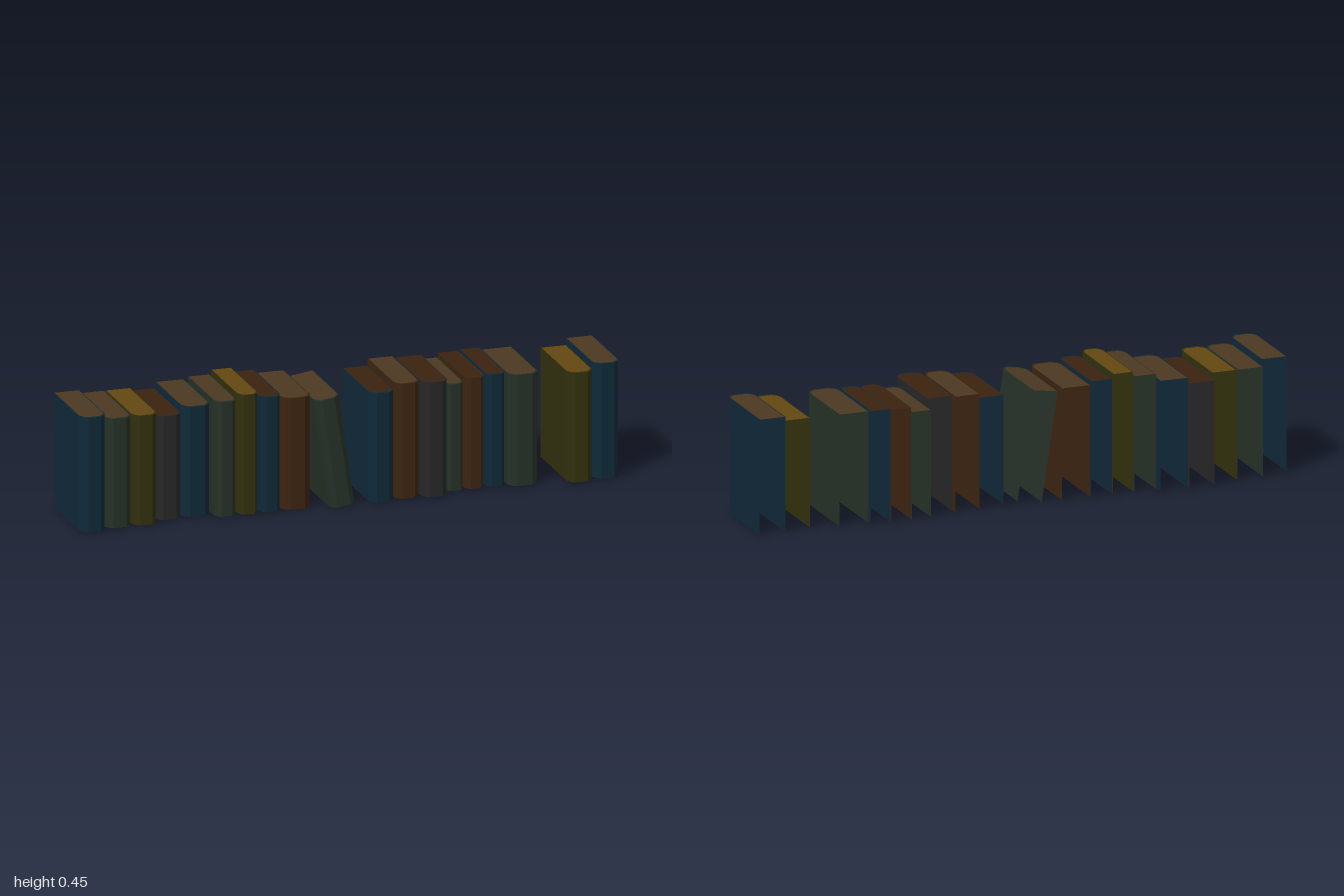
import * as THREE from 'three';

const mat = (name, color) => {
  const m = new THREE.MeshStandardMaterial({ color, side: THREE.DoubleSide, flatShading: true });
  m.name = name;
  return m;
};

// Plan outline of a book, open at the back, with a faceted rounded spine at the front
function outline(width, back, front, inset, frontInset) {
  const w = width / 2 - inset, f = front - frontInset;
  const half = [[w, back], [w, f - 0.032], [w * 0.84, f - 0.013], [w * 0.5, f]];
  return [...half, ...half.slice().reverse().map(([x, z]) => [-x, z])];
}

// Strip of quads joining two outlines at two heights
function strip(a, ya, b, yb) {
  const pos = [];
  for (let i = 0; i < a.length - 1; i++) {
    const p = [a[i][0], ya, a[i][1]], q = [a[i + 1][0], ya, a[i + 1][1]];
    const r = [b[i + 1][0], yb, b[i + 1][1]], s = [b[i][0], yb, b[i][1]];
    pos.push(...p, ...r, ...q, ...p, ...s, ...r);
  }
  const g = new THREE.BufferGeometry();
  g.setAttribute('position', new THREE.Float32BufferAttribute(pos, 3));
  g.computeVertexNormals();
  return g;
}

function makeBook(width, height, back, front, cover, pages) {
  const book = new THREE.Group();
  book.name = 'book';
  const add = (name, geometry, material) => {
    const mesh = new THREE.Mesh(geometry, material);
    mesh.name = name;
    book.add(mesh);
  };
  const outer = outline(width, back, front, 0, 0);
  const inner = outline(width, back, front, 0.003, 0.01);
  // Covers and spine: an open shell without back or bottom
  add('cover', strip(outer, 0, outer, height), cover);
  add('coverRim', strip(outer, height, inner, height), cover);
  // Page tops
  const shape = new THREE.Shape(inner.map(([x, z]) => new THREE.Vector2(x, -z)));
  const top = new THREE.ShapeGeometry(shape).rotateX(-Math.PI / 2).translate(0, height, 0);
  add('pageTop', top, pages);
  return book;
}

export function createModel() {
  const navy = mat('navy cover', 0x0f2938);
  const green = mat('green cover', 0x263127);
  const olive = mat('olive cover', 0x32300d);
  const charcoal = mat('charcoal cover', 0x272728);
  const brown = mat('brown cover', 0x3d2410);
  const tan = mat('tan pages', 0x4b3822);
  const gold = mat('gold pages', 0x634711);
  const dark = mat('dark pages', 0x3a220f);

  // Left edge, right edge, top, back, front, cover, pages
  const upright = [
    [-1, -0.905, 0.43, -0.13, 0.18, navy, tan],
    [-0.9, -0.805, 0.41, -0.155, 0.16, green, tan],
    [-0.8, -0.708, 0.41, -0.155, 0.16, olive, gold],
    [-0.705, -0.61, 0.39, -0.185, 0.13, charcoal, dark],
    [-0.605, -0.5, 0.412, -0.185, 0.125, navy, tan],
    [-0.495, -0.415, 0.43, -0.155, 0.16, green, tan],
    [-0.41, -0.335, 0.447, -0.153, 0.162, olive, gold],
    [-0.33, -0.25, 0.43, -0.155, 0.16, navy, dark],
    [-0.247, -0.14, 0.417, -0.155, 0.16, brown, tan],
    [0.07, 0.163, 0.41, -0.13, 0.18, navy, dark],
    [0.168, 0.26, 0.43, -0.147, 0.167, brown, tan],
    [0.265, 0.36, 0.43, -0.13, 0.18, charcoal, dark],
    [0.362, 0.433, 0.4, -0.17, 0.138, green, tan],
    [0.436, 0.51, 0.417, -0.17, 0.138, brown, dark],
    [0.515, 0.588, 0.421, -0.17, 0.138, navy, dark],
    [0.592, 0.702, 0.417, -0.155, 0.16, green, tan],
    [0.803, 0.897, 0.41, -0.13, 0.183, olive, gold],
    [0.902, 1, 0.43, -0.147, 0.17, navy, tan],
  ];

  const model = new THREE.Group();
  model.name = 'rowOfBooks';
  const floor = 0.007;
  for (const [x0, x1, top, back, front, cover, pages] of upright) {
    const book = makeBook(x1 - x0, top - floor, back, front, cover, pages);
    book.position.set((x0 + x1) / 2, floor, 0);
    model.add(book);
  }

  // One book tipped towards its neighbour
  const leaning = makeBook(0.093, 0.405, -0.13, 0.18, green, tan);
  leaning.name = 'leaningBook';
  leaning.rotation.z = 0.147;
  leaning.position.set(-0.028, 0.007, 0);
  model.add(leaning);
  return model;
}
